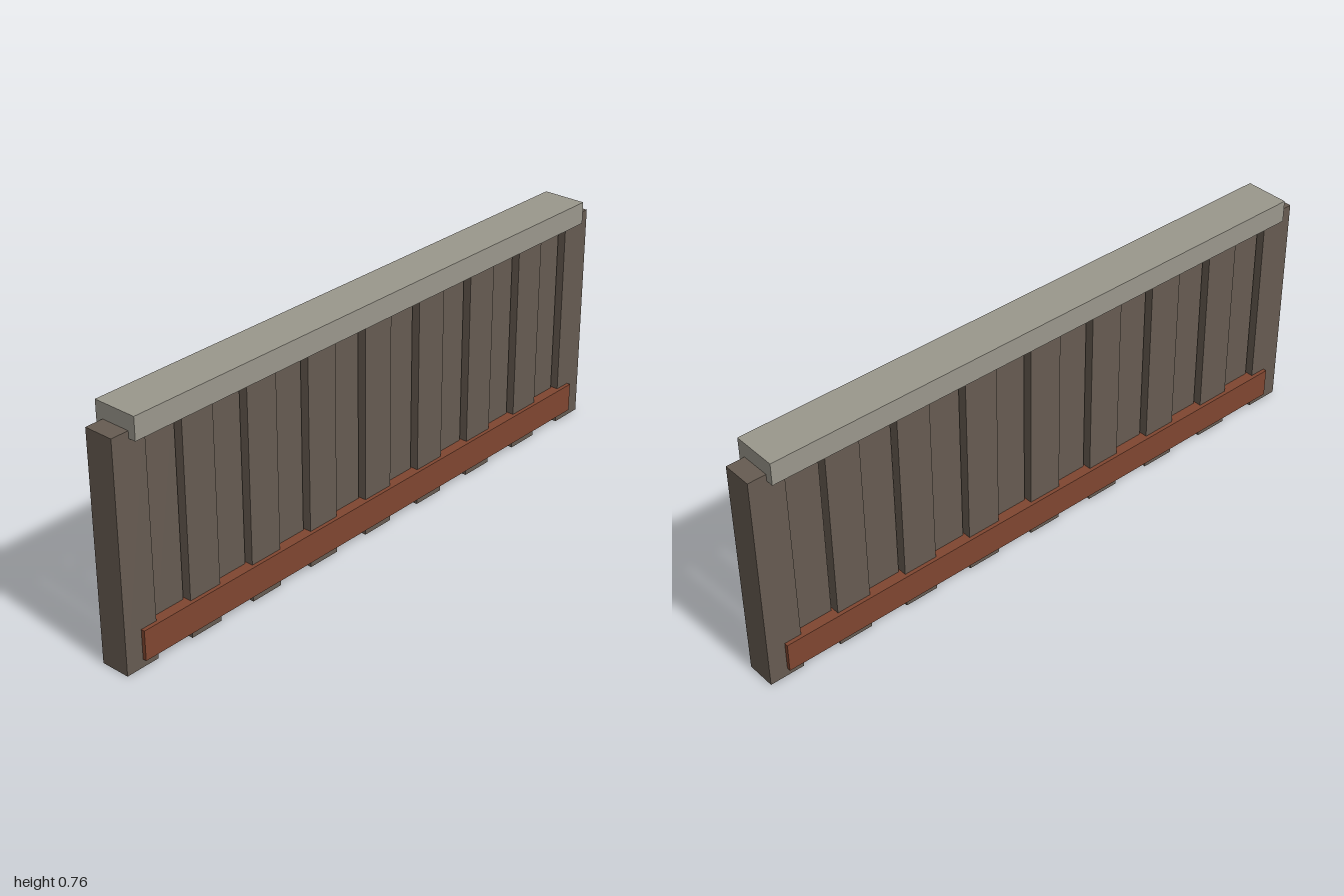
import * as THREE from 'three';

const paint = (color) => new THREE.MeshStandardMaterial({ color });

export function createModel() {
  const group = new THREE.Group();
  const pileMat = paint(0x665b51);
  const railMat = paint(0x7f4630);
  const capMat = paint(0x9a978c);

  // Box given by its size and the height of its underside
  const addBox = (name, mat, w, h, d, x, bottom) => {
    const mesh = new THREE.Mesh(new THREE.BoxGeometry(w, h, d), mat);
    mesh.name = name;
    mesh.position.set(x, bottom + h / 2, 0);
    group.add(mesh);
  };

  // Row of upright piles, alternately thick and recessed on both faces
  const count = 17, width = 0.111;
  const pitch = (2 - width) / (count - 1);
  for (let i = 0; i < count; i++) {
    const thick = i % 2 === 0;
    addBox(thick ? 'thickPile' : 'recessedPile', pileMat,
      width, 0.708, thick ? 0.094 : 0.052, (i - (count - 1) / 2) * pitch, 0);
  }

  // Waling rail near the foot, standing proud of both faces
  addBox('lowerRail', railMat, 1.886, 0.094, 0.118, 0, 0.025);

  // Capping beam sitting over the pile tops
  addBox('capBeam', capMat, 1.886, 0.07, 0.142, 0, 0.686);

  return group;
}
